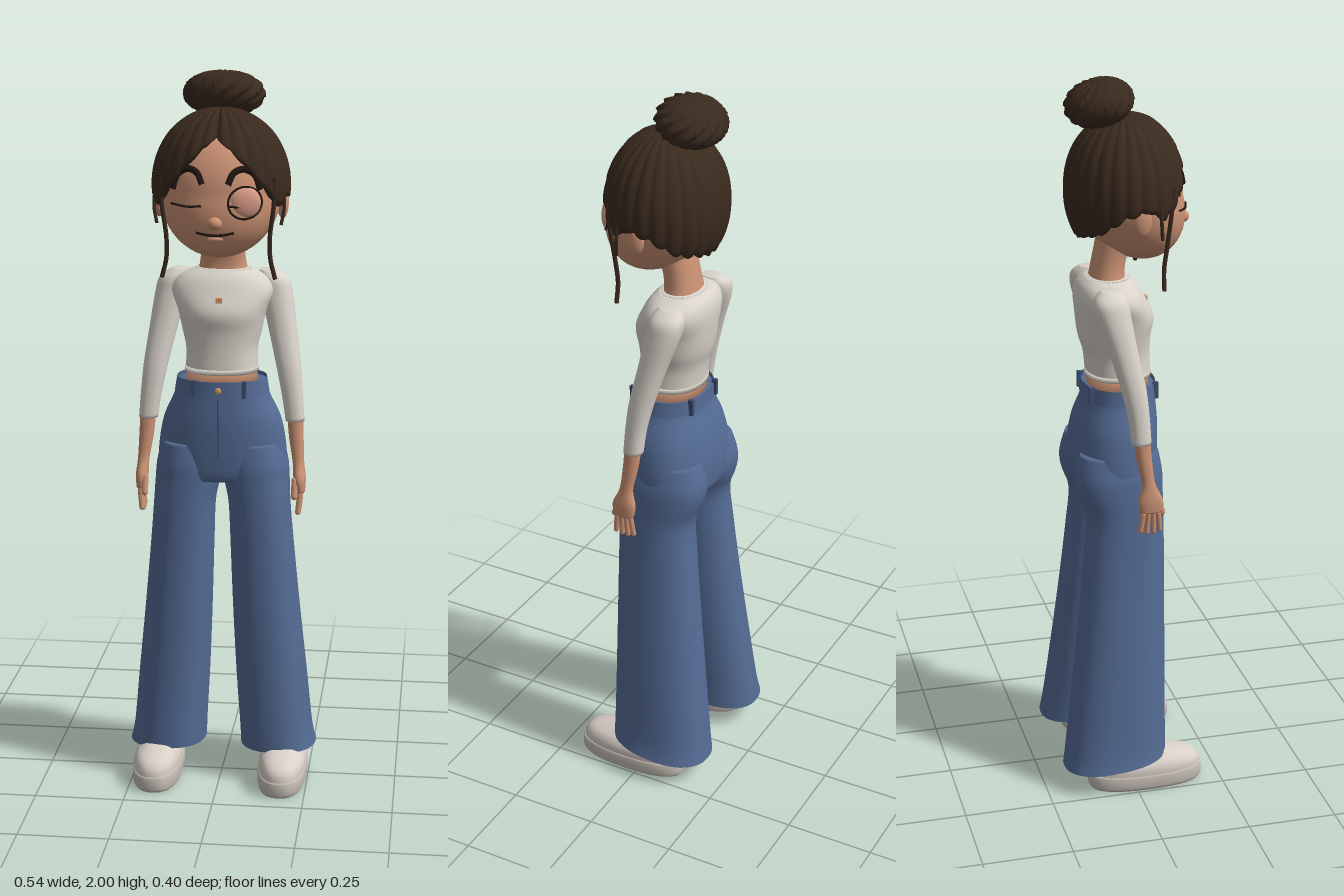
import * as THREE from 'three';

const paint = (name, color, side = THREE.FrontSide) => {
  const m = new THREE.MeshStandardMaterial({ color, side });
  m.name = name;
  return m;
};

// Surface from rows of points; each row is a closed loop, rows run bottom to top
function skinRows(rows, capBottom, capTop) {
  const n = rows[0].length, pos = rows.flat(2), idx = [];
  for (let i = 0; i < rows.length - 1; i++) for (let j = 0; j < n; j++) {
    const k = (j + 1) % n, a = i * n + j, b = i * n + k;
    idx.push(a, b, b + n, a, b + n, a + n);
  }
  const cap = (row, start, up) => {
    const c = pos.length / 3;
    pos.push(...[0, 1, 2].map(d => row.reduce((s, p) => s + p[d], 0) / n));
    for (let j = 0; j < n; j++) {
      const a = start + j, b = start + (j + 1) % n;
      idx.push(...(up ? [c, a, b] : [c, b, a]));
    }
  };
  if (capBottom) cap(rows[0], 0, false);
  if (capTop) cap(rows[rows.length - 1], (rows.length - 1) * n, true);
  const g = new THREE.BufferGeometry();
  g.setAttribute('position', new THREE.Float32BufferAttribute(pos, 3));
  g.setIndex(idx);
  g.computeVertexNormals();
  return g;
}

// Smooth loft through rings [y, centreX, centreZ, radiusX, radiusZ]
function loft(rings, { side = 1, power = 2.2, tilt = 0, capBottom = true, capTop = true, steps = 5 } = {}) {
  const at = i => rings[Math.max(0, Math.min(rings.length - 1, i))];
  const rows = [], N = 36, e = 2 / power;
  const soft = v => Math.sign(v) * Math.abs(v) ** e;
  for (let s = 0; s <= (rings.length - 1) * steps; s++) {
    const i = Math.min(Math.floor(s / steps), rings.length - 2), t = s / steps - i;
    const [y, cx, cz, rx, rz] = at(i).map((p1, d) => {
      const p0 = at(i - 1)[d], p2 = at(i + 1)[d], p3 = at(i + 2)[d];
      return p1 + 0.5 * t * (p2 - p0 + t * (2 * p0 - 5 * p1 + 4 * p2 - p3 + t * (3 * (p1 - p2) + p3 - p0)));
    });
    const fade = 1 - s / ((rings.length - 1) * steps);
    rows.push(Array.from({ length: N }, (_, j) => {
      const a = j / N * Math.PI * 2, z = cz + rz * soft(Math.cos(a));
      return [side * cx + rx * soft(Math.sin(a)), y + tilt * fade * z, z];
    }));
  }
  return skinRows(rows, capBottom, capTop);
}

const tube = (pts, r) => new THREE.TubeGeometry(
  new THREE.CatmullRomCurve3(pts.map(p => new THREE.Vector3(...p))), 24, r, 6);

// Head surface: an egg whose jaw is pushed forward
const jawShift = y => 0.045 * Math.max(0, (1.685 - y) / 0.175);
const faceZ = (x, y) => 0.025 + jawShift(y) +
  0.15 * Math.sqrt(Math.max(0, 1 - (x / 0.165) ** 2 - ((y - 1.685) / 0.175) ** 2));
const onFace = (x, y, lift = 0.001) => [x, y, faceZ(x, y) + lift];

// Height of the hairline for an angle measured from the front
const hairline = [[0, 1.845], [0.4, 1.785], [0.77, 1.71], [1.1, 1.655], [1.45, 1.685], [1.8, 1.67], [2.3, 1.615], [3.15, 1.583]];
function hairEdge(a) {
  const i = hairline.findIndex(p => p[0] > a), [a0, y0] = hairline[i - 1], [a1, y1] = hairline[i];
  return y0 + (y1 - y0) * (a - a0) / (a1 - a0);
}

function hairCapGeometry() {
  const rows = [], N = 168, V = 24;
  for (let v = -1; v <= V; v++) {
    rows.push(Array.from({ length: N }, (_, j) => {
      const a = j / N * Math.PI * 2, front = Math.min(a, Math.PI * 2 - a);
      const lock = Math.abs(Math.sin(a * 12));
      const end = Math.acos((hairEdge(front) - 0.008 * lock - 1.70) / 0.21);
      const f = Math.max(0.004, 1 - Math.max(v, 0) / V), phi = end * f;
      const parting = 0.045 * Math.exp(-((front / 0.09) ** 2)) * f;
      const r = (v < 0 ? 0.87 : 1) * (0.975 + 0.03 * lock * Math.min(1, f * 2) - parting);
      return [0.187 * r * Math.sin(phi) * Math.sin(a), 1.70 + 0.21 * (v < 0 ? 1 : r) * Math.cos(phi),
        0.02 + 0.163 * r * Math.sin(phi) * Math.cos(a)];
    }));
  }
  return skinRows(rows, false, true);
}

// Bun of overlapping locks swirling round its axis
function bunGeometry() {
  const rows = [], N = 156, V = 24;
  for (let v = 0; v <= V; v++) {
    const phi = Math.PI * (1 - v / V) * 0.998 + 0.002;
    rows.push(Array.from({ length: N }, (_, j) => {
      const a = j / N * Math.PI * 2, turn = a * 13 / (Math.PI * 2) + phi * 1.6;
      const r = 0.93 + 0.13 * (turn - Math.floor(turn)) * Math.sin(phi);
      return [0.108 * r * Math.sin(phi) * Math.sin(a), 0.064 * r * Math.cos(phi), 0.09 * r * Math.sin(phi) * Math.cos(a)];
    }));
  }
  return skinRows(rows, true, true);
}

export function createModel() {
  const skin = paint('skin', 0xcb9274);
  const hair = paint('hair brown', 0x3a2a1e, THREE.DoubleSide);
  const cream = paint('cream knit', 0xd9d3ca);
  const denim = paint('denim blue', 0x546b94, THREE.DoubleSide);
  const darkDenim = paint('dark denim', 0x3d4f73);
  const shoe = paint('shoe white', 0xd9d0c7);
  const sole = paint('sole', 0xc6beb5);
  const dark = paint('lash black', 0x201712);
  const blush = paint('eyelid pink', 0xd69a84);
  const copper = paint('copper', 0xd99a6c);

  const model = new THREE.Group();
  model.name = 'woman';
  const add = (name, geo, mat, x = 0, y = 0, z = 0) => {
    const m = new THREE.Mesh(geo, mat);
    m.name = name;
    m.position.set(x, y, z);
    model.add(m);
    return m;
  };
  const blob = (name, mat, p, s) => {
    const m = add(name, new THREE.SphereGeometry(1, 24, 16), mat, ...p);
    m.scale.set(...s);
    return m;
  };

  // Head, neck and face
  const head = new THREE.SphereGeometry(1, 48, 32).scale(0.165, 0.175, 0.15).translate(0, 1.685, 0.025);
  const hp = head.attributes.position;
  for (let i = 0; i < hp.count; i++) hp.setZ(i, hp.getZ(i) + jawShift(hp.getY(i)));
  head.computeVertexNormals();
  add('head', head, skin);
  add('neck', loft([[1.42, 0, -0.03, 0.085, 0.06], [1.47, 0, -0.03, 0.066, 0.047],
    [1.52, 0, -0.022, 0.06, 0.045], [1.58, 0, -0.005, 0.062, 0.05]]), skin);
  blob('nose', skin, [0, 1.615, 0.178], [0.02, 0.018, 0.021]);
  add('mouth', tube([-0.05, -0.025, 0, 0.025, 0.05].map(x => onFace(x, 1.583 + 2.5 * x * x)), 0.0035), dark);
  blob('lowerLip', blush, onFace(0, 1.572, -0.003), [0.022, 0.008, 0.008]);
  blob('leftEyelid', blush, onFace(0.078, 1.668, -0.008), [0.043, 0.042, 0.018]).rotation.y = 0.35;
  add('leftEyeRim', tube(Array.from({ length: 13 }, (_, i) => {
    const a = i / 12 * Math.PI * 2;
    return onFace(0.078 + 0.043 * Math.cos(a), 1.668 + 0.042 * Math.sin(a));
  }), 0.003), dark);

  // Hair
  add('hairCap', hairCapGeometry(), hair);
  add('bun', bunGeometry(), hair, 0, 1.935, -0.05).rotation.x = -0.25;

  // Top
  add('shirt', loft([[1.19, 0, 0, 0.1, 0.088], [1.25, 0, -0.004, 0.099, 0.09], [1.3, 0, -0.01, 0.11, 0.098],
    [1.355, 0, -0.01, 0.122, 0.105], [1.41, 0, -0.024, 0.142, 0.093], [1.445, 0, -0.03, 0.122, 0.078],
    [1.465, 0, -0.03, 0.078, 0.058]]), cream);
  add('shirtHem', loft([[1.186, 0, 0, 0.102, 0.09], [1.2, 0, 0, 0.102, 0.09]], { steps: 1 }), cream);
  add('collar', loft([[1.455, 0, -0.03, 0.086, 0.064], [1.468, 0, -0.03, 0.075, 0.056]], { steps: 1 }), cream);
  add('waist', loft([[1.14, 0, 0, 0.102, 0.085], [1.195, 0, 0, 0.095, 0.083]], { steps: 1 }), skin);
  add('pendant', new THREE.BoxGeometry(0.018, 0.018, 0.008), copper, 0, 1.39, 0.079);

  // Trousers
  add('trouserHips', loft([[0.885, 0, -0.02, 0.16, 0.108], [0.905, 0, -0.02, 0.178, 0.117], [0.97, 0, -0.018, 0.178, 0.12],
    [1.05, 0, -0.01, 0.163, 0.114], [1.12, 0, 0, 0.132, 0.1], [1.16, 0, 0, 0.122, 0.097]]), denim);
  add('waistband', loft([[1.128, 0, 0, 0.131, 0.102], [1.17, 0, 0, 0.124, 0.1]],
    { steps: 1, capTop: false, capBottom: false }), denim);
  add('fly', new THREE.BoxGeometry(0.004, 0.16, 0.006), darkDenim, 0, 1.04, 0.102);
  blob('button', copper, [0, 1.146, 0.102], [0.009, 0.009, 0.004]);

  for (const s of [1, -1]) {
    const side = s > 0 ? 'left' : 'right';
    const part = (name, geo, mat) => add(side + name, geo, mat);

    // Face and hair details
    blob(side + 'Ear', skin, [s * 0.167, 1.655, 0.025], [0.016, 0.045, 0.026]);
    part('Brow', tube([[0.115, 1.7], [0.1, 1.74], [0.072, 1.755], [0.048, 1.745], [0.034, 1.715]]
      .map(([x, y]) => onFace(s * x, y)), 0.009), dark);
    part('Lashes', tube([0.12, 0.095, 0.07, 0.035].map(x => onFace(s * x, 1.657 + 0.1 * Math.abs(x - 0.075), 0.003)), 0.003), dark);
    part('LongStrand', tube([[0.15, 1.73, 0.115], [0.15, 1.66, 0.108], [0.139, 1.57, 0.1], [0.14, 1.51, 0.092], [0.153, 1.455, 0.09]]
      .map(([x, y, z]) => [s * x, y, z]), 0.006), hair);
    part('ShortStrand', tube([[0.168, 1.72, 0.07], [0.175, 1.65, 0.075], [0.167, 1.6, 0.08]]
      .map(([x, y, z]) => [s * x, y, z]), 0.005), hair);

    // Arm and hand
    part('Sleeve', loft([[1.05, 0.204, 0.015, 0.026, 0.027], [1.12, 0.196, 0.01, 0.029, 0.029],
      [1.2, 0.184, -0.002, 0.034, 0.034], [1.3, 0.165, -0.025, 0.039, 0.039], [1.39, 0.147, -0.047, 0.044, 0.047],
      [1.435, 0.136, -0.052, 0.042, 0.045], [1.46, 0.12, -0.05, 0.022, 0.025]], { side: s }), cream);
    part('Forearm', loft([[0.855, 0.222, 0.037, 0.013, 0.03], [0.89, 0.22, 0.037, 0.017, 0.034],
      [0.935, 0.216, 0.032, 0.016, 0.019], [1.0, 0.209, 0.022, 0.02, 0.021], [1.07, 0.204, 0.015, 0.022, 0.023]], { side: s }), skin);
    for (let f = 0; f < 4; f++) {
      const finger = add(side + 'Finger', new THREE.CapsuleGeometry(0.0075, 0.065 - 0.01 * Math.abs(f - 1.5), 4, 10), skin,
        s * 0.22, 0.825, 0.061 - f * 0.016);
      finger.rotation.set(0.08 * (f - 1.5), 0, -s * 0.1);
    }
    const thumb = add(side + 'Thumb', new THREE.CapsuleGeometry(0.009, 0.045, 4, 10), skin, s * 0.208, 0.868, 0.066);
    thumb.rotation.x = -0.3;

    // Flared trouser leg, belt loops
    part('TrouserLeg', loft([[0.085, 0.16, -0.05, 0.108, 0.147], [0.14, 0.153, -0.045, 0.103, 0.143], [0.3, 0.14, -0.034, 0.1, 0.133],
      [0.5, 0.125, -0.021, 0.094, 0.122], [0.7, 0.112, -0.01, 0.088, 0.112], [0.81, 0.105, -0.006, 0.086, 0.108],
      [0.88, 0.096, -0.018, 0.091, 0.119], [0.93, 0.093, -0.021, 0.089, 0.121], [0.99, 0.09, -0.018, 0.075, 0.108]],
    { side: s, power: 2.3, tilt: 0.1, capBottom: false }), denim);
    for (const z of [0.09, -0.09])
      add(side + 'BeltLoop', new THREE.BoxGeometry(0.011, 0.046, 0.014), darkDenim, s * 0.07, 1.149, z);

    // Ankle and shoe
    part('Ankle', loft([[0.08, 0.175, -0.05, 0.04, 0.045], [0.25, 0.16, -0.04, 0.042, 0.045]], { side: s, steps: 1 }), skin);
    part('Sole', loft([[0, 0.178, 0.035, 0.064, 0.158], [0.012, 0.179, 0.035, 0.069, 0.165], [0.042, 0.179, 0.035, 0.069, 0.165],
      [0.046, 0.179, 0.035, 0.064, 0.16]], { side: s, power: 2.5, steps: 2 }), sole);
    part('Shoe', loft([[0.04, 0.179, 0.035, 0.066, 0.161], [0.065, 0.179, 0.034, 0.066, 0.158], [0.085, 0.178, 0.03, 0.058, 0.143],
      [0.1, 0.176, 0.015, 0.045, 0.11], [0.115, 0.175, -0.02, 0.04, 0.06]], { side: s, power: 2.4 }), shoe);
  }
  return model;
}
